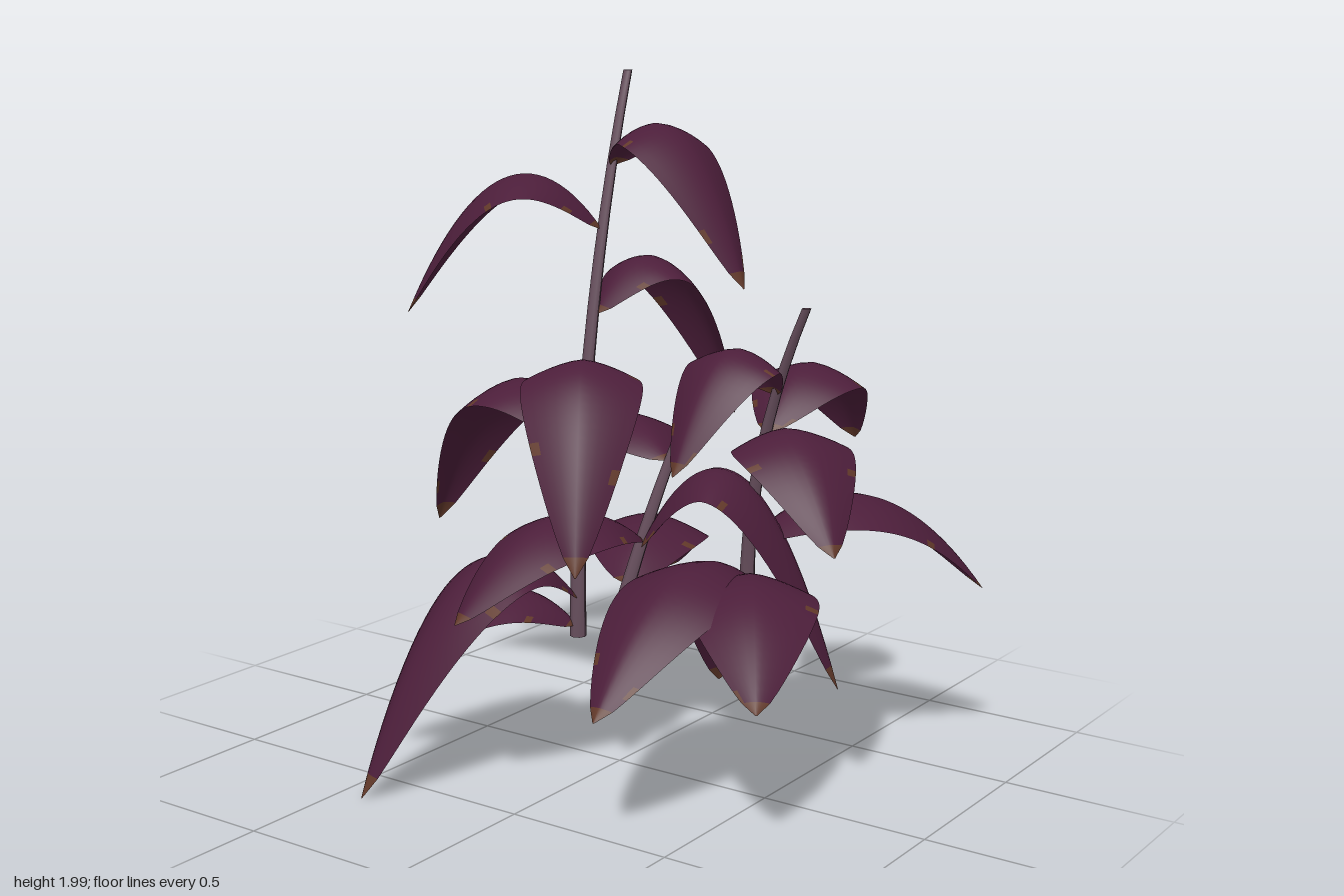
import * as THREE from 'three';

const leafMat = new THREE.MeshStandardMaterial({ color: 0x4c1e3a, side: THREE.DoubleSide });
leafMat.name = 'plum leaf';
const stemMat = new THREE.MeshStandardMaterial({ color: 0x644c5a });
stemMat.name = 'greyish stem';
const dryMat = new THREE.MeshStandardMaterial({ color: 0x613829, side: THREE.DoubleSide });
dryMat.name = 'dry brown';

const V = (a) => new THREE.Vector3(...a);

// Each stem: base, bend control, top, and its leaves as
// [height on stem, peak height of the arch, tip x, tip y, tip z]
const STEMS = [
  {
    name: 'tallStem', base: [-0.06, 0.39, -0.105], bend: [-0.02, 1.195, -0.145], top: [0.30, 2.0, -0.185],
    leaves: [
      [1.73, 1.86, 0.13, 1.42, 0.33],
      [1.55, 1.71, -0.14, 1.30, -0.665],
      [1.31, 1.47, 0.58, 0.96, 0.02],
      [1.10, 1.22, -0.45, 0.70, 0.175],
      [0.93, 1.10, 0.19, 0.58, -0.84],
      [0.50, 0.66, -0.66, 0.01, -0.42],
      [0.42, 0.52, -0.32, 0.16, -0.605],
    ],
  },
  {
    name: 'shortStem', base: [-0.10, 0.39, 0.04], bend: [0.0, 0.78, 0.09], top: [0.15, 1.17, 0.19],
    leaves: [
      [0.92, 1.02, 0.27, 0.79, -0.425],
      [0.67, 0.92, 0.19, 0.30, 0.62],
      [0.70, 0.81, -0.61, 0.56, -0.11],
      [0.57, 0.70, 0.59, 0.43, -0.23],
    ],
  },
  {
    name: 'frontStem', base: [0.115, 0.39, 0.37], bend: [0.13, 0.885, 0.31], top: [0.095, 1.39, 0.55],
    leaves: [
      [1.14, 1.29, -0.31, 0.98, 0.39],
      [1.03, 1.19, 0.65, 0.92, 0.40],
      [0.96, 1.08, -0.22, 0.81, 0.83],
      [0.71, 0.83, 0.66, 0.52, 0.83],
      [0.60, 0.70, -0.61, 0.38, 0.35],
      [0.56, 0.68, -0.435, 0.43, 0.735],
      [0.43, 0.545, 0.59, 0.09, -0.035],
    ],
  },
];

// Tapered cylinder bent along the curve
function makeStem(curve, radius) {
  const geo = new THREE.CylinderGeometry(radius * 0.55, radius, 1, 8, 12);
  const p = geo.attributes.position;
  for (let i = 0; i < p.count; i++) {
    const c = curve.getPoint(p.getY(i) + 0.5);
    p.setXYZ(i, c.x + p.getX(i), c.y, c.z + p.getZ(i));
  }
  geo.computeVertexNormals();
  return new THREE.Mesh(geo, stemMat);
}

// Arched oval blade, pointed at the tip, sides sagging from the midrib
function makeLeaf(base, peak, tip, seed) {
  const rise = peak - base.y, drop = base.y - tip.y;
  const mid = base.clone().lerp(tip, 0.5);
  mid.y = base.y + rise + Math.sqrt(rise * rise + rise * drop);
  const rib = new THREE.QuadraticBezierCurve3(base, mid, tip);
  const flat = new THREE.Vector3(tip.x - base.x, 0, tip.z - base.z);
  const halfWidth = Math.min(0.18, 0.085 + 0.145 * flat.length());
  const side = flat.clone().normalize().cross(new THREE.Vector3(0, 1, 0));
  const N = 28, M = 10, pos = [], healthy = [], dry = [];
  for (let i = 0; i <= N; i++) {
    const t = i / N, c = rib.getPoint(t);
    const normal = side.clone().cross(rib.getTangent(t)).normalize();
    const w = halfWidth * Math.pow(Math.max(0, Math.sin(Math.PI * Math.pow(t, 0.9))), 0.72) + 0.002;
    for (let j = 0; j <= M; j++) {
      const s = (j / M) * 2 - 1;
      const v = c.clone().addScaledVector(side, s * w)
        .addScaledVector(normal, -0.35 * w * Math.pow(Math.abs(s), 1.5));
      pos.push(v.x, v.y, v.z);
      if (i === N || j === M) continue;
      // Blade ends and a few spots on the margin are dry
      const margin = j === 0 || j === M - 1;
      const isDry = i === 0 || i === N - 1 || (margin && (i * 7 + j * 3 + seed * 5) % 13 === 0);
      const a = i * (M + 1) + j, b = a + M + 1;
      (isDry ? dry : healthy).push(a, a + 1, b, a + 1, b + 1, b);
    }
  }
  const geo = new THREE.BufferGeometry();
  geo.setAttribute('position', new THREE.Float32BufferAttribute(pos, 3));
  geo.setIndex([...healthy, ...dry]);
  geo.computeVertexNormals();
  geo.addGroup(0, healthy.length, 0);
  geo.addGroup(healthy.length, dry.length, 1);
  return new THREE.Mesh(geo, [leafMat, dryMat]);
}

export function createModel() {
  const plant = new THREE.Group();
  plant.name = 'plant';
  for (const s of STEMS) {
    const group = new THREE.Group();
    group.name = s.name + 'WithLeaves';
    const curve = new THREE.QuadraticBezierCurve3(V(s.base), V(s.bend), V(s.top));
    const stem = makeStem(curve, 0.024);
    stem.name = s.name;
    group.add(stem);
    s.leaves.forEach(([y, peak, ...tip], i) => {
      const t = (y - s.base[1]) / (s.top[1] - s.base[1]);
      const leaf = makeLeaf(curve.getPoint(t), peak, V(tip), i);
      leaf.name = 'leaf' + (i + 1);
      group.add(leaf);
    });
    plant.add(group);
  }
  return plant;
}
